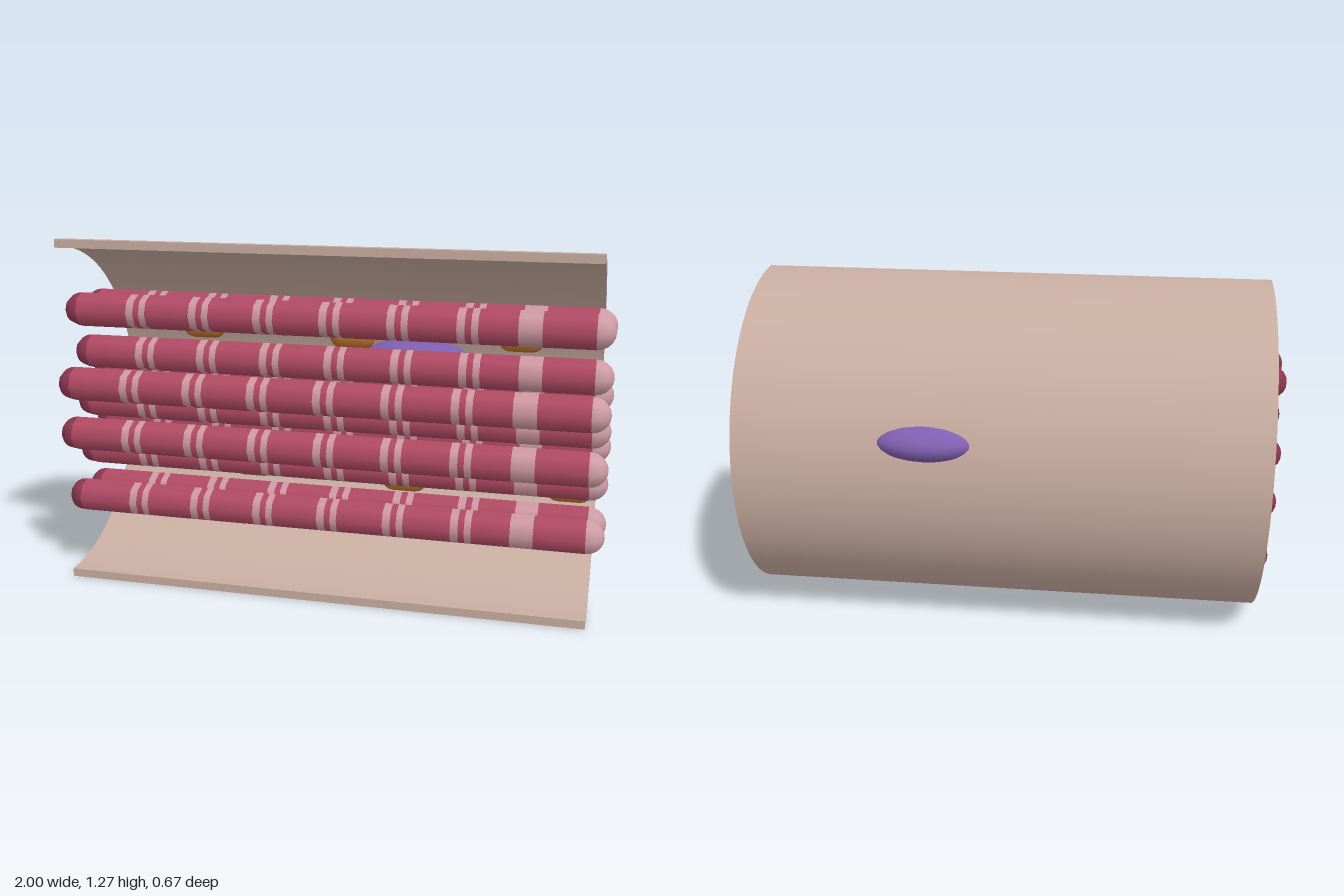
import * as THREE from 'three';
import { mergeGeometries, toCreasedNormals } from 'three/addons/utils/BufferGeometryUtils.js';

const SIDES = 8, R = 0.063, CAP = 0.937;

const mat = (color, extra = {}) => new THREE.MeshStandardMaterial({ color, ...extra });

function addMesh(parent, name, geometry, material) {
  const mesh = new THREE.Mesh(geometry, material);
  mesh.name = name;
  parent.add(mesh);
  return mesh;
}

// open tube pieces along x, one for each [start, end] pair
function tubePieces(spans) {
  return mergeGeometries(spans.map(([a, b]) =>
    new THREE.CylinderGeometry(R, R, b - a, SIDES, 1, true)
      .rotateZ(-Math.PI / 2).translate((a + b) / 2, 0, 0)));
}

// rounded end of a fibre, pointing to +x or -x
function endCap(sign) {
  return new THREE.SphereGeometry(R, SIDES, 5, 0, Math.PI * 2, 0, Math.PI / 2)
    .rotateZ(-sign * Math.PI / 2).translate(sign * CAP, 0, 0);
}

export function createModel() {
  const model = new THREE.Group();
  model.name = 'fibreBundle';

  // half-cylinder sheath, open towards the front
  const arc = new THREE.Shape();
  arc.absarc(0, 0, 0.637, -Math.PI / 2, Math.PI / 2, false);
  arc.absarc(0, 0, 0.607, Math.PI / 2, -Math.PI / 2, true);
  const sheathGeo = toCreasedNormals(
    new THREE.ExtrudeGeometry(arc, { depth: 1.905, bevelEnabled: false, curveSegments: 20 }), 0.6);
  sheathGeo.translate(0, 0, -0.9525).rotateY(Math.PI / 2).translate(0, 0.637, 0.335);
  addMesh(model, 'sheath', sheathGeo, mat(0xc8aca0));

  // pale stripes: six narrow pairs and one wide stripe
  const stripes = [];
  for (let i = 0; i < 6; i++) {
    const x = -0.72 + i * 0.242;
    stripes.push([x - 0.018, x + 0.01], [x + 0.032, x + 0.056]);
  }
  stripes.push([0.68, 0.76]);

  // red sections fill the gaps between stripes
  const sections = [];
  let start = -CAP;
  for (const [a, b] of stripes) {
    sections.push([start, a]);
    start = b;
  }
  sections.push([start, CAP]);

  const parts = [
    ['fibreBody', tubePieces(sections), mat(0xb04a64)],
    ['fibreStripes', tubePieces(stripes), mat(0xcf98a2)],
    ['fibreDarkEnd', endCap(-1), mat(0x8e3850)],
    ['fibrePaleEnd', endCap(1), mat(0xcf9ea8)],
  ];

  // fibre axes as [z, y]
  const axes = [
    [0.175, 1.0], [0.005, 0.99], [0.11, 0.83], [0.26, 0.735], [-0.04, 0.735], [0.11, 0.64],
    [0.26, 0.545], [-0.04, 0.545], [0.11, 0.45], [0.215, 0.29], [0.045, 0.28],
  ];
  for (const [z, y] of axes) {
    const fibre = new THREE.Group();
    fibre.name = 'fibre';
    fibre.position.set(0, y, z);
    for (const [name, geometry, material] of parts) addMesh(fibre, name, geometry, material);
    model.add(fibre);
  }

  // small brown capsules between the fibres: height, first x, depths
  const capsuleGeo = new THREE.CapsuleGeometry(0.044, 0.08, 4, 10).rotateZ(-Math.PI / 2);
  const brown = mat(0xb8702c);
  const rows = [
    [0.905, -0.56, [-0.1, -0.02, -0.112]],
    [0.645, -0.46, [-0.12, 0.005, -0.126]],
    [0.365, -0.36, [-0.08, -0.035, -0.055]],
  ];
  for (const [y, x0, depths] of rows) {
    depths.forEach((z, i) =>
      addMesh(model, 'capsule', capsuleGeo, brown).position.set(x0 + i * 0.61, y, z));
  }

  // purple nucleus pushed through the sheath
  const nucleus = addMesh(model, 'nucleus', new THREE.SphereGeometry(1, 20, 14), mat(0x7f5fb0));
  nucleus.scale.set(0.205, 0.075, 0.128);
  nucleus.position.set(0.255, 0.8, -0.203);

  return model;
}
